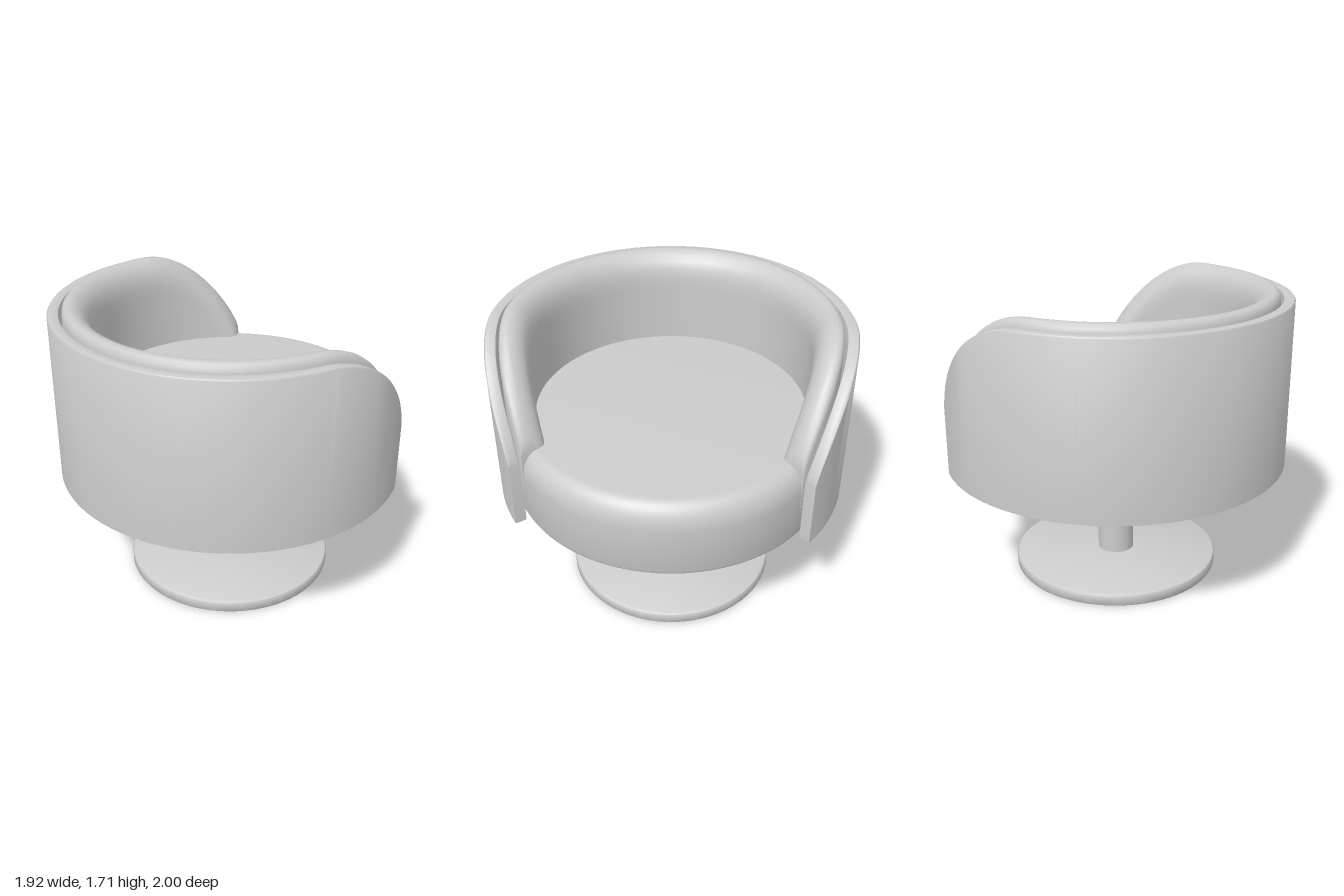
import * as THREE from 'three';
import { toCreasedNormals } from 'three/addons/utils/BufferGeometryUtils.js';

const CX = 0.04; // axis of the round seat
const START = THREE.MathUtils.degToRad(50.7);
const END = THREE.MathUtils.degToRad(303.5);

// 0 at the open ends of the wall, rising smoothly to 1 along the back
function rise(angle) {
  const d = Math.min(angle - START, END - angle);
  const s = THREE.MathUtils.clamp(d / THREE.MathUtils.degToRad(42), 0, 1);
  return Math.pow(1 - (1 - s) ** 2, 0.82);
}

// Sweeps a counterclockwise [radius, y] section around the axis and caps both ends
function sweepArc(section, steps = 140) {
  const pos = [], index = [];
  let n = 0;
  for (let j = 0; j <= steps; j++) {
    const t = j / steps;
    const k = 0.5 * t + 0.5 * (0.5 - 0.5 * Math.cos(Math.PI * t));
    const a = START + (END - START) * k;
    const pts = section(rise(a));
    n = pts.length;
    for (const [r, y] of pts) pos.push(r * Math.cos(a), y, r * Math.sin(a));
  }
  for (let j = 0; j < steps; j++) {
    for (let i = 0; i < n; i++) {
      const a = j * n + i, b = j * n + (i + 1) % n;
      index.push(a, b, a + n, b, b + n, a + n);
    }
  }
  const outline = section(0).map(([r, y]) => new THREE.Vector2(r, y));
  const last = steps * n;
  for (const [a, b, c] of THREE.ShapeUtils.triangulateShape(outline, [])) {
    index.push(a, c, b, last + a, last + b, last + c);
  }
  const geo = new THREE.BufferGeometry();
  geo.setAttribute('position', new THREE.Float32BufferAttribute(pos, 3));
  geo.setIndex(index);
  return toCreasedNormals(geo, 0.7);
}

// Turned solid from [radius, y] points listed bottom to top
function turned(points) {
  const geo = new THREE.LatheGeometry(points.map(([r, y]) => new THREE.Vector2(r, y)), 96);
  return toCreasedNormals(geo, 0.6);
}

export function createModel() {
  const group = new THREE.Group();
  const material = new THREE.MeshStandardMaterial({ color: 0xcccccc });
  const add = (name, geo) => {
    const mesh = new THREE.Mesh(geo, material);
    mesh.name = name;
    mesh.position.x = CX;
    group.add(mesh);
  };

  // Pedestal: flat disc and column
  add('base', turned([[0, 0], [0.605, 0], [0.61, 0.008], [0.61, 0.052], [0.605, 0.062], [0.59, 0.07], [0, 0.07]]));
  add('column', turned([[0.107, 0.06], [0.107, 0.71]]));

  // Thick round seat with a softly rounded top edge
  const seat = [[0, 0.7], [0.885, 0.7], [0.91, 0.71], [0.92, 0.735]];
  for (let i = 0; i <= 10; i++) {
    const a = (i / 10) * Math.PI / 2;
    seat.push([0.82 + 0.1 * Math.cos(a), 1.0 + 0.15 * Math.sin(a)]);
  }
  seat.push([0, 1.15]);
  add('seat', turned(seat));

  // Outer wall, sloping down to the open front
  add('outerShell', sweepArc((f) => {
    const h = 1.1 + 0.565 * f;
    return [[0.935, 0.7], [1, 0.7], [1, h - 0.012], [0.994, h - 0.003], [0.98, h],
      [0.95, h], [0.939, h - 0.004], [0.935, h - 0.014]];
  }));

  // Rounded padding lining the wall
  add('backPadding', sweepArc((f) => {
    const h = 1.18 + 0.525 * f;
    return [[0.765, 0.9], [0.922, 0.9], [0.922, h - 0.055], [0.917, h - 0.025], [0.903, h - 0.007],
      [0.88, h], [0.855, h - 0.005], [0.825, h - 0.022], [0.797, h - 0.052],
      [0.777, h - 0.095], [0.767, h - 0.15], [0.765, h - 0.21]];
  }));

  return group;
}
